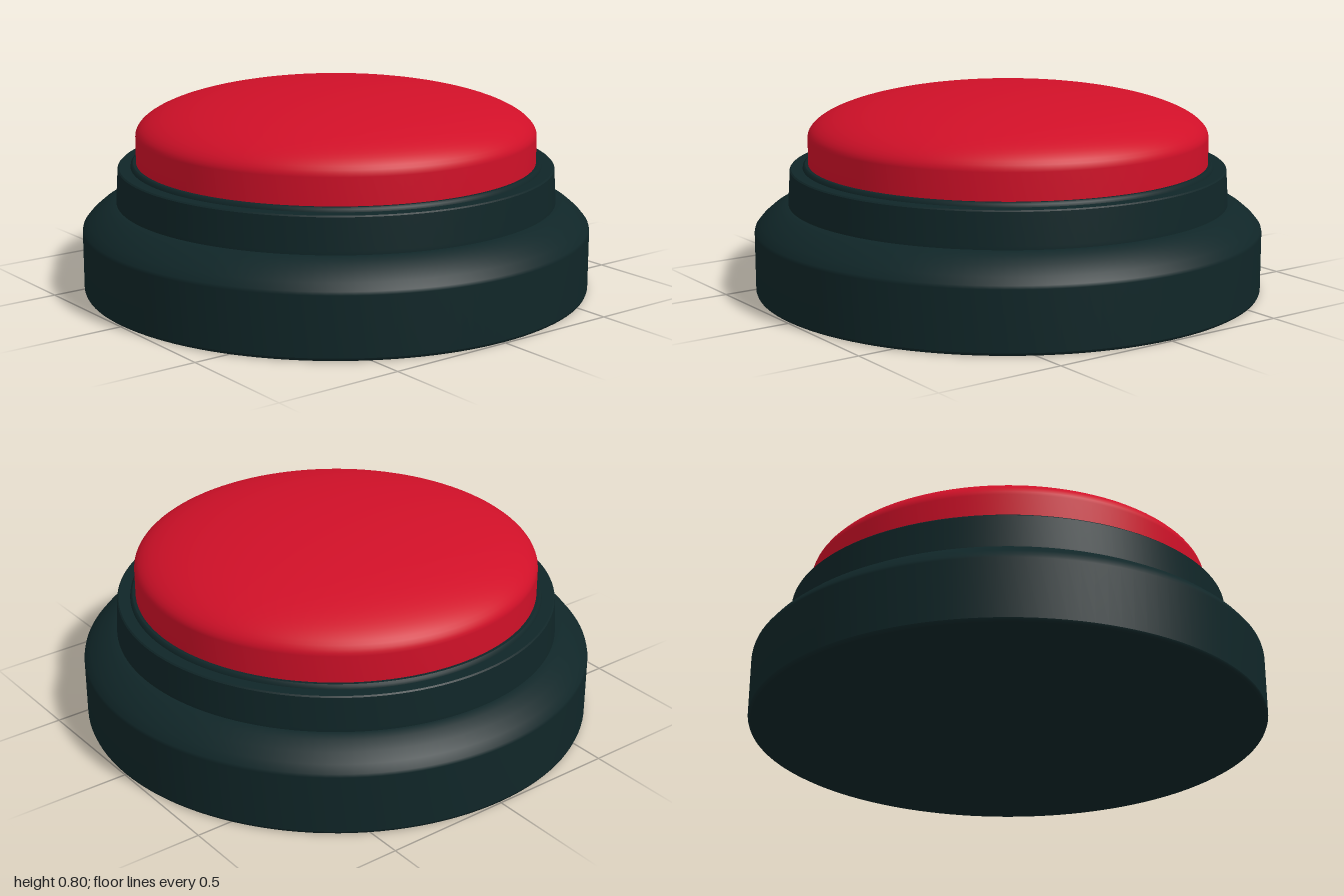
import * as THREE from 'three';
import { mergeGeometries } from 'three/addons/utils/BufferGeometryUtils.js';

const SEGMENTS = 128;

// Revolves several profile runs; each run is smooth, with a sharp edge between runs.
function turned(name, material, runs) {
  const parts = runs.map((run) =>
    new THREE.LatheGeometry(run.map(([r, y]) => new THREE.Vector2(r, y)), SEGMENTS));
  const mesh = new THREE.Mesh(mergeGeometries(parts), material);
  mesh.name = name;
  return mesh;
}

export function createModel() {
  const housing = new THREE.MeshStandardMaterial({ color: 0x102628 });
  housing.name = 'dark housing';
  const red = new THREE.MeshStandardMaterial({ color: 0xd01028 });
  red.name = 'red button';

  const group = new THREE.Group();
  group.name = 'pushButton';

  // Wide foot with a small bottom bevel and a rounded shoulder
  group.add(turned('base', housing, [
    [[0, 0], [0.99, 0]],
    [[0.99, 0], [0.997, 0.004], [1, 0.012]],
    [[1, 0.012], [1, 0.24], [0.997, 0.253], [0.975, 0.28], [0.94, 0.31],
      [0.90, 0.335], [0.87, 0.346], [0.84, 0.349]],
  ]));

  // Slightly tapered collar with a flat rim
  group.add(turned('collar', housing, [
    [[0.866, 0.345], [0.866, 0.36], [0.858, 0.482]],
    [[0.858, 0.482], [0.853, 0.487]],
    [[0.853, 0.487], [0.80, 0.487]],
  ]));

  // Narrow seat ring directly under the button
  group.add(turned('seatRing', housing, [
    [[0.808, 0.485], [0.806, 0.497], [0.798, 0.503]],
    [[0.798, 0.503], [0.77, 0.503]],
  ]));

  // Button: short straight wall running into a shallow elliptical dome
  const dome = [];
  for (let i = 0; i <= 24; i++) {
    const a = (i / 24) * Math.PI / 2;
    dome.push([i === 24 ? 0 : 0.786 * Math.cos(a), 0.608 + 0.188 * Math.sin(a)]);
  }
  group.add(turned('button', red, [[[0.786, 0.495], ...dome]]));

  return group;
}
